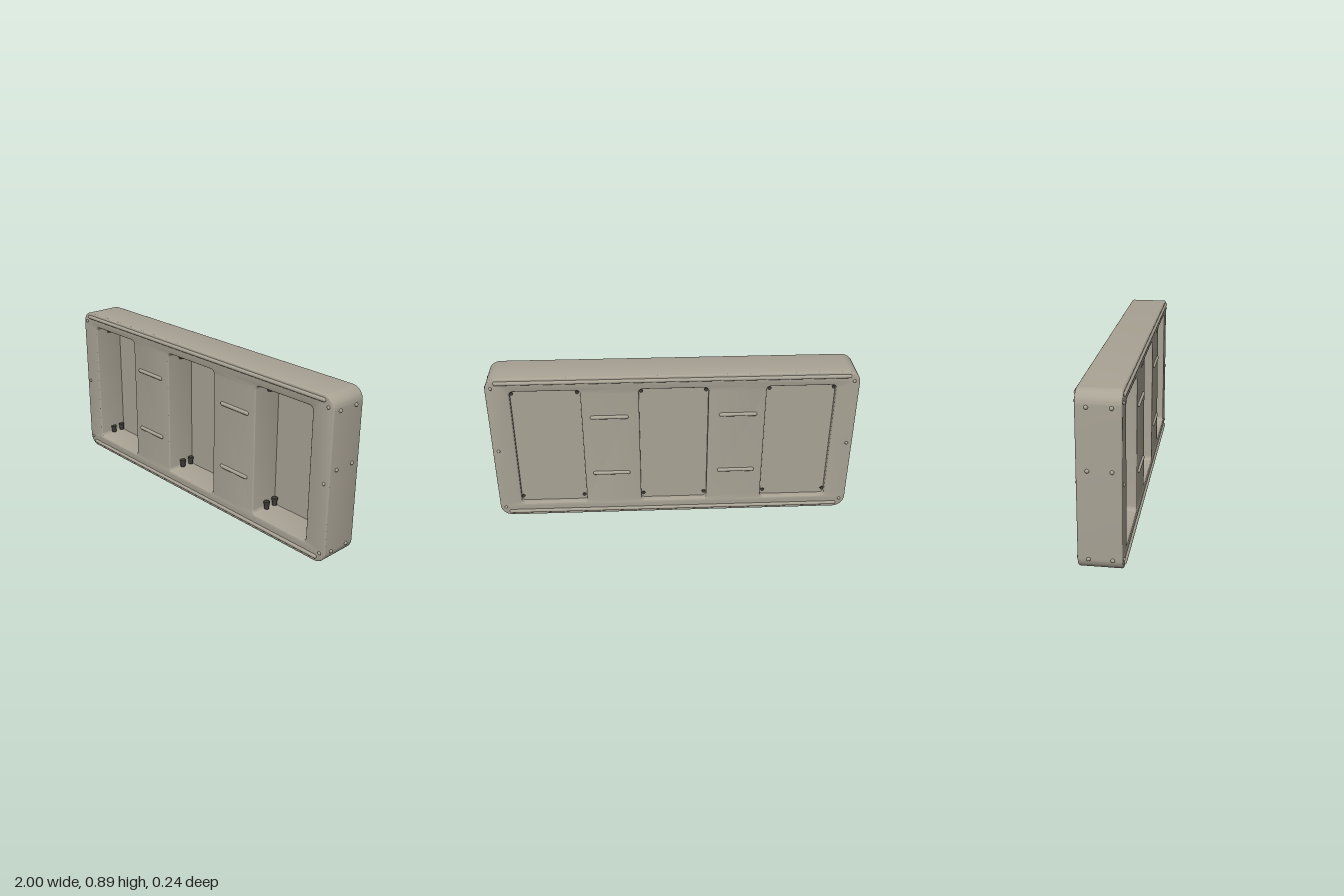
import * as THREE from 'three';
import { toCreasedNormals } from 'three/addons/utils/BufferGeometryUtils.js';

const W = 0.99, H = 0.886, D = 0.107;          // half width, height, half depth
const POCKETS = [-0.685, 0, 0.685];            // pocket centres
const PW = 0.195, P0 = 0.068, P1 = 0.822;      // pocket half width, bottom, top

const shell = new THREE.MeshStandardMaterial({ color: 0xa9a395 });
shell.name = 'warm grey';
const dark = new THREE.MeshStandardMaterial({ color: 0x3c3a35 });
dark.name = 'dark fastener';

// Rounded rectangle outline, used for the case and its openings
function roundedRect(path, x0, y0, x1, y1, r) {
  path.moveTo(x0 + r, y0);
  path.lineTo(x1 - r, y0);
  path.absarc(x1 - r, y0 + r, r, -Math.PI / 2, 0);
  path.lineTo(x1, y1 - r);
  path.absarc(x1 - r, y1 - r, r, 0, Math.PI / 2);
  path.lineTo(x0 + r, y1);
  path.absarc(x0 + r, y1 - r, r, Math.PI / 2, Math.PI);
  path.lineTo(x0, y0 + r);
  path.absarc(x0 + r, y0 + r, r, Math.PI, Math.PI * 1.5);
  return path;
}

export function createModel() {
  const model = new THREE.Group();
  model.name = 'threeBayCase';

  function add(name, geometry, material, x = 0, y = 0, z = 0) {
    const mesh = new THREE.Mesh(geometry, material);
    mesh.name = name;
    mesh.position.set(x, y, z);
    model.add(mesh);
    return mesh;
  }

  // Case body with three through openings and softened edges
  const outline = roundedRect(new THREE.Shape(), -W, 0, W, H, 0.06);
  for (const x of POCKETS) {
    outline.holes.push(roundedRect(new THREE.Path(), x - PW, P0, x + PW, P1, 0.03));
  }
  const bevel = 0.008;
  const body = new THREE.ExtrudeGeometry(outline, {
    depth: 2 * (D - bevel), bevelEnabled: true, bevelThickness: bevel,
    bevelSize: bevel, bevelOffset: 0, bevelSegments: 3, curveSegments: 8,
  });
  // Pull the outer skin back to size after the bevel swell
  body.scale(W / (W + bevel), (H / 2) / (H / 2 + bevel), 1);
  body.translate(0, (H / 2) * (1 - (H / 2) / (H / 2 + bevel)), -(D - bevel));
  add('caseBody', toCreasedNormals(body, 0.7), shell);

  // Panel closing each opening, close to the back
  const panel = new THREE.BoxGeometry(2 * PW, P1 - P0, 0.012);
  const knob = new THREE.CylinderGeometry(0.014, 0.014, 0.04, 8);
  const collar = new THREE.CylinderGeometry(0.017, 0.017, 0.012, 8);
  const boltEnd = new THREE.CylinderGeometry(0.011, 0.011, 0.006, 8).rotateX(Math.PI / 2);
  for (const x of POCKETS) {
    add('bayPanel', panel, shell, x, (P0 + P1) / 2, -0.07);
    // Corner fasteners inside the bay, with bolt ends showing behind
    for (const sx of [-1, 1]) {
      for (const y of [0.112, 0.782]) {
        const kx = x + sx * 0.173;
        for (const z of [0.018, -0.043]) {
          add('cornerFastener', knob, dark, kx, y, z);
          add('fastenerCollar', collar, dark, kx, y + 0.016, z);
        }
        add('boltEnd', boltEnd, dark, kx, y, -0.077);
      }
    }
  }

  // Half-sunk round rods on both faces: long edge rails and short ribs
  const rail = new THREE.CapsuleGeometry(0.011, 1.86, 6, 12).rotateZ(Math.PI / 2);
  const rib = new THREE.CapsuleGeometry(0.011, 0.184, 6, 12).rotateZ(Math.PI / 2);
  const screw = new THREE.SphereGeometry(0.009, 12, 8);
  for (const side of [-1, 1]) {
    for (const y of [0.028, 0.86]) add('edgeRail', rail, shell, 0, y, side * D);
    for (const sx of [-1, 1]) {
      for (const y of [0.28, 0.642]) add('rib', rib, shell, sx * 0.347, y, side * D);
      // Screw heads on the front and back faces
      for (const y of [0.058, 0.44, 0.83]) add('faceScrew', screw, shell, sx * 0.958, y, side * D);
    }
  }

  // Screw heads on the two ends
  const endScrew = new THREE.SphereGeometry(0.01, 12, 8);
  for (const sx of [-1, 1]) {
    for (const y of [0.065, 0.51, 0.812]) {
      for (const z of [-0.054, 0.06]) add('endScrew', endScrew, shell, sx * W, y, z);
    }
  }

  return model;
}
